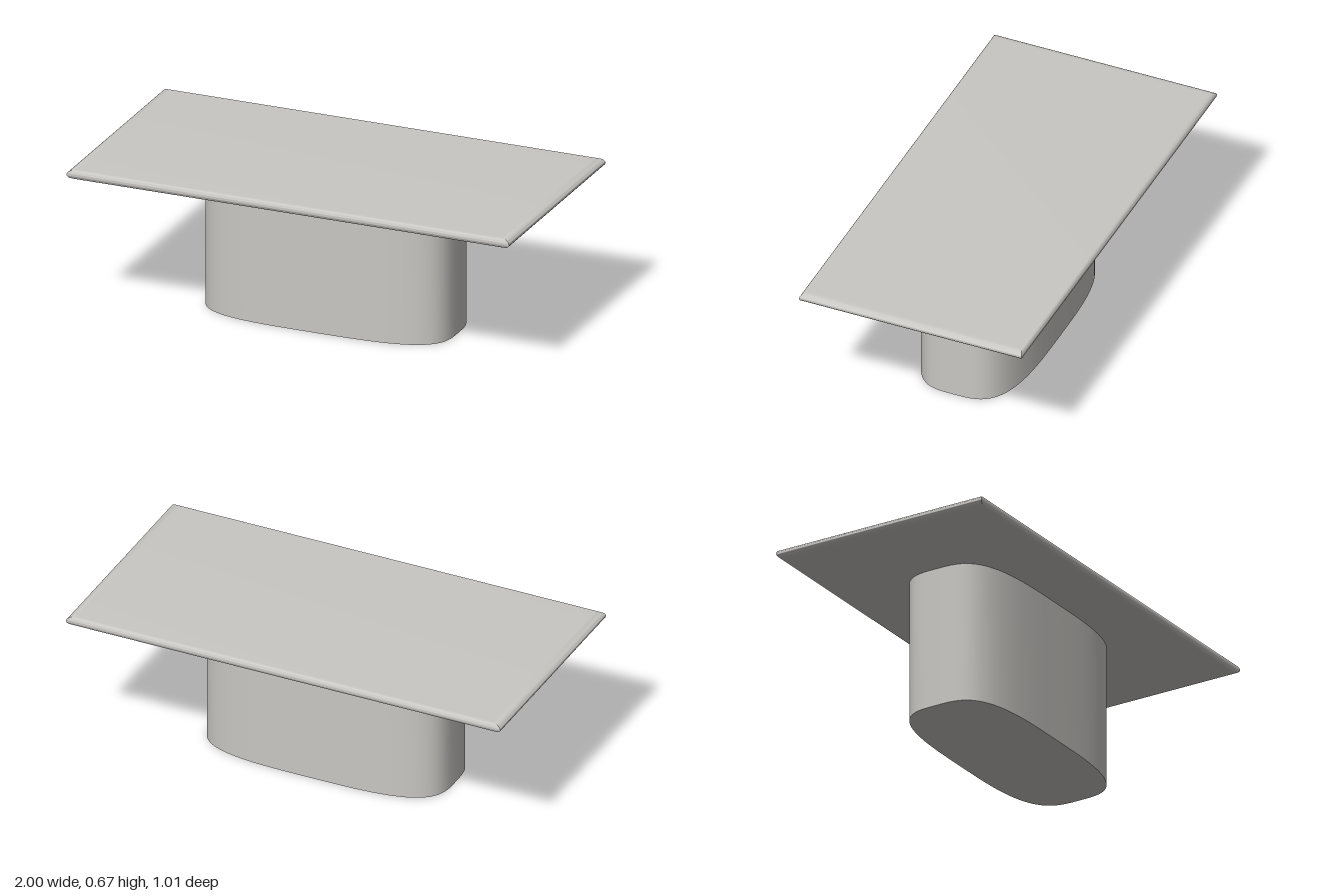
import * as THREE from 'three';
import { toCreasedNormals } from 'three/addons/utils/BufferGeometryUtils.js';

const HEIGHT = 0.667, THICK = 0.042;

// Extrudes an outline upwards, smoothing everything but sharp edges
function extrudeUp(shape, options) {
  const geometry = new THREE.ExtrudeGeometry(shape, { curveSegments: 1, ...options });
  geometry.rotateX(-Math.PI / 2);
  return geometry;
}

// Superellipse outline: flat-sided oval
function ovalShape(a, b, power, count) {
  const points = [];
  for (let i = 0; i < count; i++) {
    const t = (i / count) * Math.PI * 2;
    const c = Math.cos(t), s = Math.sin(t);
    points.push(new THREE.Vector2(
      a * Math.sign(c) * Math.abs(c) ** (2 / power),
      b * Math.sign(s) * Math.abs(s) ** (2 / power)
    ));
  }
  return new THREE.Shape(points);
}

export function createModel() {
  const model = new THREE.Group();
  model.name = 'table';
  const stone = new THREE.MeshStandardMaterial({ color: 0xc9c7c3 });
  stone.name = 'warm grey';

  // Oval pedestal
  const pedestal = new THREE.Mesh(
    toCreasedNormals(extrudeUp(ovalShape(0.554, 0.238, 3.4, 128), {
      depth: HEIGHT - THICK + 0.002, bevelEnabled: false
    }), 0.7),
    stone
  );
  pedestal.name = 'pedestal';

  // Slab with rounded edges meeting at mitred corners; stretched in x so its ends taper longer
  const round = 0.02, hx = 0.5 - round, hz = 0.505 - round;
  const outline = new THREE.Shape([
    new THREE.Vector2(-hx, -hz), new THREE.Vector2(hx, -hz),
    new THREE.Vector2(hx, hz), new THREE.Vector2(-hx, hz)
  ]);
  const slab = extrudeUp(outline, {
    depth: THICK - 2 * round, bevelThickness: round, bevelSize: round, bevelSegments: 12
  });
  slab.scale(2, 1, 1);
  slab.translate(0, HEIGHT - THICK + round, 0);
  const top = new THREE.Mesh(toCreasedNormals(slab, 0.6), stone);
  top.name = 'tableTop';

  model.add(pedestal, top);
  return model;
}
